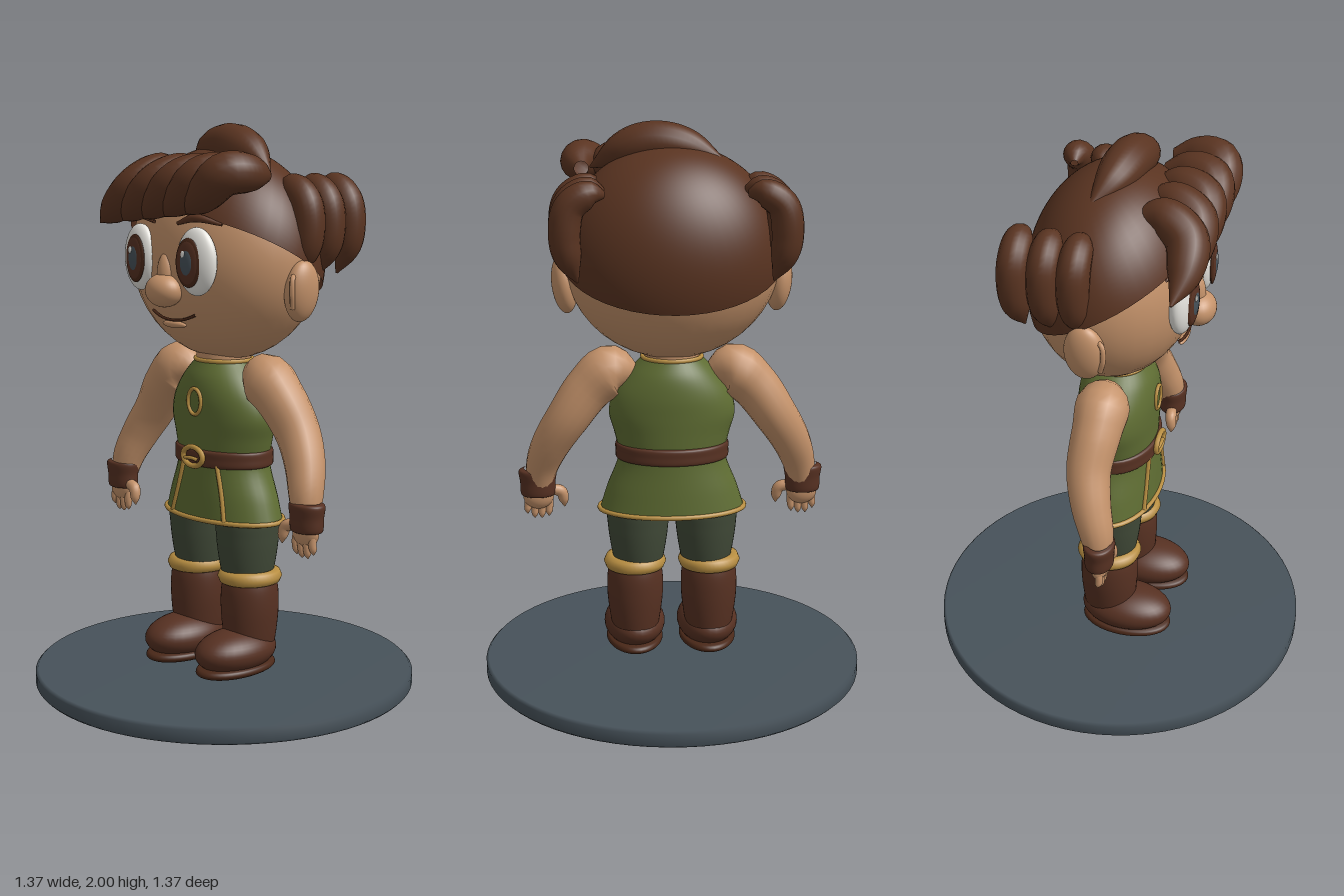
import * as THREE from 'three';
import { mergeVertices } from 'three/addons/utils/BufferGeometryUtils.js';

const mat = (name, color, side = THREE.FrontSide) =>
  Object.assign(new THREE.MeshStandardMaterial({ color, side }), { name });
const M = {
  skin: mat('skin', 0xc4926a),
  hair: mat('hair brown', 0x5a3421, THREE.DoubleSide),
  leather: mat('leather brown', 0x573122),
  tunic: mat('tunic green', 0x5f6d33, THREE.DoubleSide),
  trousers: mat('trouser green', 0x414a38),
  gold: mat('gold', 0xb98f42),
  white: mat('eye white', 0xe6e4de),
  slate: mat('slate', 0x47525a),
  dark: mat('dark line', 0x4a2818),
};
const V = (p) => new THREE.Vector3(...p);

function smooth(g) {
  g.deleteAttribute('uv');
  g.deleteAttribute('normal');
  g = mergeVertices(g, 1e-5);
  g.computeVertexNormals();
  return g;
}

// Elliptical loft through rows of [y, rx, rz], bottom to top
function loft(rows) {
  const pts = new THREE.CatmullRomCurve3(rows.map(([y, rx, rz]) => new THREE.Vector3(rx, y, rz))).getPoints(rows.length * 5);
  const g = new THREE.LatheGeometry(pts.map((p) => new THREE.Vector2(p.x, p.y)), 40);
  const a = g.attributes.position;
  for (let i = 0; i < a.count; i++) {
    const p = pts[i % pts.length];
    a.setZ(i, (a.getZ(i) * p.z) / Math.max(p.x, 1e-4));
  }
  return smooth(g);
}

// Tapered tube through points, with one radius for each point
function sweep(points, radii, seg = 28) {
  const curve = new THREE.CatmullRomCurve3(points.map(V));
  const rad = new THREE.CatmullRomCurve3(radii.map((r, i) => new THREE.Vector3(i, r, 0)));
  const around = 16;
  const g = new THREE.TubeGeometry(curve, seg, 1, around);
  const a = g.attributes.position, v = new THREE.Vector3();
  for (let i = 0; i < a.count; i++) {
    const k = Math.floor(i / (around + 1)) / seg;
    const c = curve.getPointAt(k);
    const r = Math.max(rad.getPoint(curve.getUtoTmapping(k)).y, 0.002);
    v.fromBufferAttribute(a, i).sub(c).multiplyScalar(r).add(c);
    a.setXYZ(i, v.x, v.y, v.z);
  }
  return smooth(g);
}

const line = (points, r, closed = false) =>
  new THREE.TubeGeometry(new THREE.CatmullRomCurve3(points.map(V), closed), closed ? 48 : 20, r, 8, closed);

// Closed elliptical band; upright lies in xy, otherwise in xz
function ring(rx, rb, r, upright = false) {
  const pts = [];
  for (let i = 0; i < 24; i++) {
    const t = (i / 24) * Math.PI * 2, b = rb * Math.sin(t);
    pts.push(upright ? [rx * Math.cos(t), b, 0] : [rx * Math.cos(t), 0, b]);
  }
  return line(pts, r, true);
}

const ball = (rx, ry, rz) => new THREE.SphereGeometry(1, 32, 22).scale(rx, ry, rz);

export function createModel() {
  const root = new THREE.Group();
  root.name = 'figurine';
  const add = (name, geo, material, pos = [0, 0, 0], rot = [0, 0, 0]) => {
    const m = new THREE.Mesh(geo, material);
    m.name = name;
    m.position.set(...pos);
    m.rotation.set(...rot);
    root.add(m);
    return m;
  };

  // Display base with a softened rim
  add('base', new THREE.LatheGeometry([[0, 0], [0.675, 0], [0.685, 0.01], [0.685, 0.05], [0.675, 0.06], [0, 0.06]]
    .map((p) => new THREE.Vector2(...p)), 72), M.slate);

  // Tunic, trims and belt
  add('tunic', loft([[0.62, 0.26, 0.148], [0.7, 0.235, 0.143], [0.82, 0.192, 0.135], [0.9, 0.205, 0.137], [0.98, 0.225, 0.14],
    [1.05, 0.208, 0.14], [1.12, 0.16, 0.128], [1.18, 0.105, 0.098]]), M.tunic);
  add('hem', ring(0.262, 0.15, 0.009), M.gold, [0, 0.622, 0]);
  add('neckTrim', ring(0.105, 0.097, 0.008), M.gold, [0, 1.18, 0]);
  add('belt', loft([[0.808, 0.19, 0.133], [0.815, 0.202, 0.146], [0.84, 0.203, 0.147], [0.865, 0.202, 0.146], [0.872, 0.19, 0.133]]), M.leather);
  add('buckle', ring(0.05, 0.034, 0.01, true), M.gold, [0, 0.845, 0.15]);
  add('buckleTongue', line([[-0.045, 0.835, 0.15], [0, 0.84, 0.155], [0.03, 0.835, 0.152]], 0.007), M.gold);
  add('pendant', ring(0.033, 0.046, 0.007, true), M.gold, [0, 1.04, 0.141]);
  add('skirtTrimRight', line([[-0.07, 0.82, 0.13], [-0.1, 0.72, 0.13], [-0.132, 0.625, 0.13]], 0.008), M.gold);
  add('skirtTrimLeft', line([[0.095, 0.82, 0.122], [0.12, 0.72, 0.124], [0.137, 0.625, 0.128]], 0.008), M.gold);
  add('hips', ball(0.18, 0.06, 0.09), M.skin, [0, 0.665, 0]);
  add('neck', new THREE.CylinderGeometry(0.095, 0.1, 0.16, 32), M.skin, [0, 1.2, 0]);

  // Head and face
  add('head', ball(0.38, 0.365, 0.29), M.skin, [0, 1.545, -0.01]);
  add('nose', ball(0.073, 0.058, 0.06), M.skin, [0, 1.44, 0.278]);
  add('noseBridge', ball(0.035, 0.08, 0.035), M.skin, [0, 1.49, 0.265]);
  add('mouth', line([[-0.11, 1.36, 0.233], [-0.06, 1.342, 0.239], [0, 1.336, 0.243], [0.06, 1.342, 0.239], [0.11, 1.36, 0.233]], 0.005), M.dark);
  add('lowerLip', ball(0.06, 0.013, 0.015), M.skin, [0, 1.32, 0.232]);

  // Hair cap, tilted down toward the nape
  add('hairCap', new THREE.SphereGeometry(1, 48, 28, 0, Math.PI * 2, 0, 1.545).rotateX(-0.42).scale(0.393, 0.39, 0.305),
    M.hair, [0, 1.535, -0.003]);

  // Swept fringe locks
  for (let i = 0; i < 5; i++) {
    const x = -0.13 + 0.11 * i, y = 0.012 * i;
    add('fringeLock', sweep([[x, 1.83, 0.1], [x + 0.01, 1.84, 0.18], [x - 0.02, 1.79 + y, 0.265], [x - 0.11, 1.715 + y, 0.285], [x - 0.22, 1.655 + y, 0.27]],
      [0.025, 0.062, 0.072, 0.058, 0.004]), M.hair);
  }
  add('crownLock', sweep([[-0.17, 1.87, -0.045], [-0.06, 1.91, -0.005], [0.06, 1.925, 0.015], [0.17, 1.9, 0.03], [0.28, 1.84, 0.05]],
    [0.01, 0.062, 0.076, 0.062, 0.004]), M.hair);

  for (const s of [1, -1]) {
    const side = s > 0 ? 'left' : 'right';
    const put = (name, geo, m, p = [0, 0, 0], r) => add(side + name, geo, m, [p[0] * s, p[1], p[2]], r);
    const mx = (pts) => pts.map(([x, y, z]) => [x * s, y, z]);

    // Eye layers
    const tilt = [0, s * 0.12, 0];
    put('Eye', ball(0.083, 0.115, 0.04), M.white, [0.145, 1.545, 0.258], tilt);
    put('IrisRim', ball(0.055, 0.083, 0.012), M.dark, [0.137, 1.542, 0.29], tilt);
    put('Iris', ball(0.049, 0.076, 0.012), M.leather, [0.137, 1.542, 0.292], tilt);
    put('Pupil', ball(0.029, 0.046, 0.009), M.slate, [0.137, 1.542, 0.298], tilt);
    add(side + 'Glint', ball(0.009, 0.013, 0.004), M.white, [0.137 * s - 0.012, 1.57, 0.304]);
    put('Brow', sweep(mx([[0.06, 1.67, 0.268], [0.14, 1.69, 0.258], [0.23, 1.67, 0.222]]), [0.006, 0.014, 0.005]), M.hair);

    // Ear with inner fold
    put('Ear', ball(0.045, 0.105, 0.07), M.skin, [0.375, 1.445, -0.008], [0, 0, -s * 0.1]);
    put('EarFold', line(mx([[0.385, 1.5, 0.04], [0.397, 1.49, 0.058], [0.4, 1.44, 0.062], [0.39, 1.39, 0.05]]), 0.009), M.skin);

    // Side locks
    for (let i = 0; i < 3; i++) {
      const z = -0.045 - 0.1 * i;
      put('SideLock', sweep(mx([[0.24, 1.785, z + 0.01], [0.29, 1.79, z], [0.355, 1.745, z], [0.372, 1.65, z], [0.36, 1.57, z + 0.005], [0.33, 1.49, z + 0.02]]),
        [0.012, 0.046, 0.054, 0.054, 0.045, 0.004]), M.hair);
    }

    // Arm, bracer and hand
    put('Arm', sweep(mx([[0.13, 1.12, 0], [0.21, 1.13, 0.005], [0.29, 1.07, 0.005], [0.37, 0.96, 0], [0.43, 0.86, 0.025], [0.465, 0.77, 0.055], [0.48, 0.68, 0.07]]),
      [0.03, 0.092, 0.087, 0.078, 0.07, 0.06, 0.045]), M.skin);
    put('Bracer', loft([[0.648, 0.045, 0.035], [0.652, 0.06, 0.047], [0.7, 0.064, 0.051], [0.742, 0.068, 0.053], [0.75, 0.05, 0.04]]), M.leather, [0.484, 0, 0.07]);
    put('Palm', ball(0.056, 0.05, 0.03), M.skin, [0.482, 0.645, 0.073]);
    for (let f = 0; f < 4; f++) {
      const x = 0.443 + f * 0.026, drop = [0.565, 0.557, 0.558, 0.575][f];
      put('Finger', sweep(mx([[x, 0.65, 0.074], [x, 0.61, 0.08], [x + 0.002, drop + 0.015, 0.078], [x + 0.002, drop, 0.076]]), [0.013, 0.014, 0.012, 0.002], 16), M.skin);
    }
    put('Thumb', sweep(mx([[0.43, 0.665, 0.08], [0.4, 0.655, 0.085], [0.39, 0.62, 0.09], [0.388, 0.595, 0.09]]), [0.02, 0.021, 0.017, 0.002], 16), M.skin);

    // Leg and boot
    put('Thigh', loft([[0.4, 0.085, 0.09], [0.48, 0.1, 0.105], [0.56, 0.11, 0.114], [0.64, 0.112, 0.115], [0.7, 0.08, 0.08]]), M.trousers, [0.123, 0, 0]);
    put('BootShaft', loft([[0.14, 0.08, 0.09], [0.22, 0.094, 0.1], [0.3, 0.102, 0.105], [0.37, 0.1, 0.103], [0.42, 0.09, 0.092]]), M.leather, [0.135, 0, 0]);
    put('BootCuff', ring(0.086, 0.09, 0.027), M.gold, [0.135, 0.415, 0]);
    put('BootFoot', ball(0.112, 0.078, 0.17), M.leather, [0.135, 0.153, 0.068]);
    put('BootSole', loft([[0.072, 0.001, 0.001], [0.075, 0.085, 0.145], [0.09, 0.104, 0.168], [0.104, 0.1, 0.16], [0.11, 0.001, 0.001]]), M.dark, [0.135, 0, 0.068]);
  }
  return root;
}
